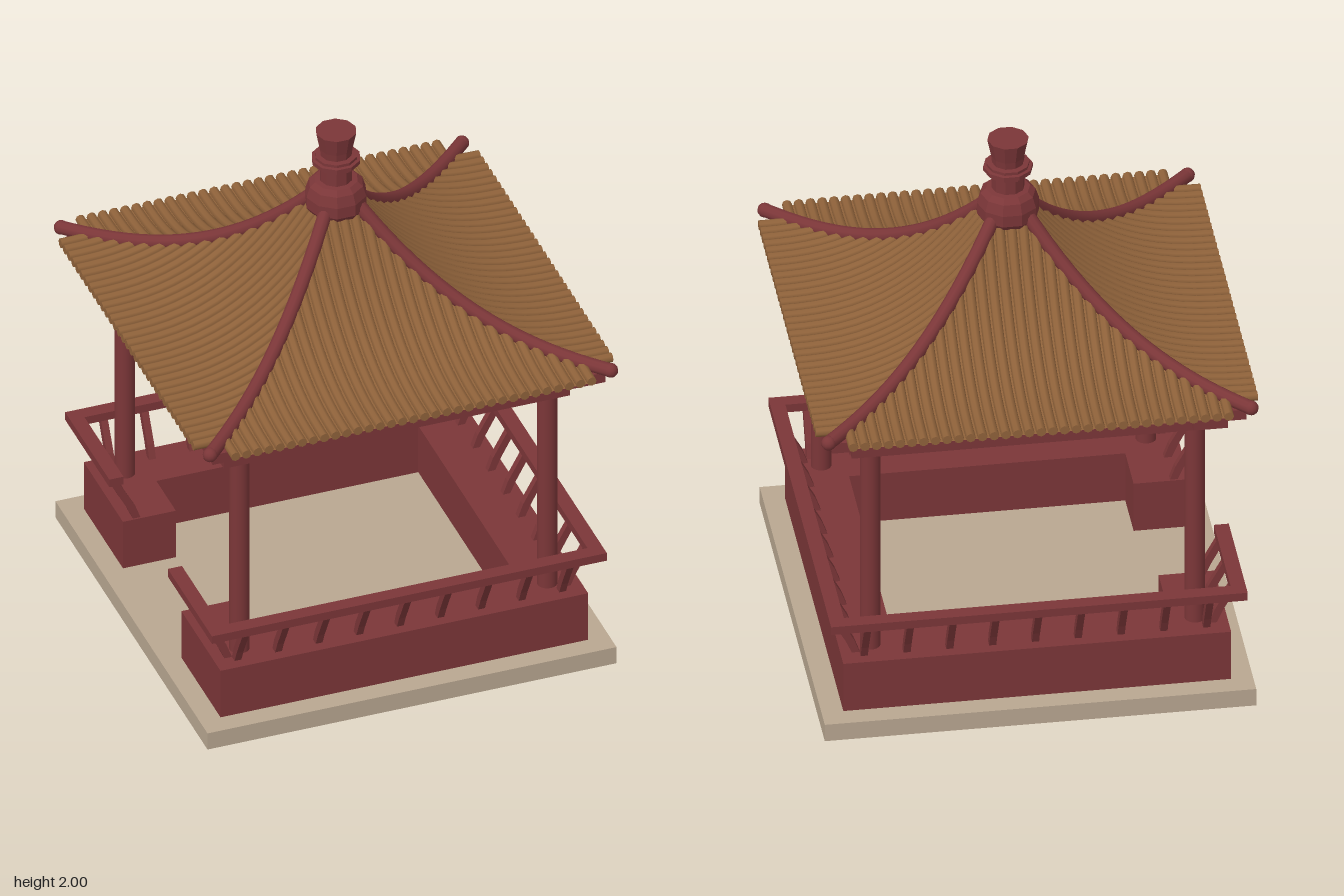
import * as THREE from 'three';
import { mergeGeometries } from 'three/addons/utils/BufferGeometryUtils.js';

const QUARTER = Math.PI / 2;

// Height of the swept roof at distance s from the centre line
const roofY = (s) => 1.255 + 0.41 * Math.pow(Math.max(0, (0.8 - s) / 0.72), 2.5);

export function createModel() {
  const model = new THREE.Group();
  const pavilion = new THREE.Group();
  pavilion.name = 'pavilion';
  pavilion.rotation.y = -0.305;
  model.add(pavilion);

  const red = new THREE.MeshStandardMaterial({ color: 0x7b3638 });
  red.name = 'redWood';
  const stone = new THREE.MeshStandardMaterial({ color: 0xb8a690 });
  stone.name = 'paleStone';
  const tile = new THREE.MeshStandardMaterial({ color: 0x8f623a, side: THREE.DoubleSide });
  tile.name = 'brownTile';

  const add = (name, geometry, material, parent = pavilion) => {
    const mesh = new THREE.Mesh(geometry, material);
    mesh.name = name;
    parent.add(mesh);
    return mesh;
  };
  // Box given by its extents on each axis
  const box = (name, x0, x1, y0, y1, z0, z1, material = red) => {
    const g = new THREE.BoxGeometry(x1 - x0, y1 - y0, z1 - z0);
    g.translate((x0 + x1) / 2, (y0 + y1) / 2, (z0 + z1) / 2);
    return add(name, g, material);
  };
  // Square ring with an optional opening in the front
  const ring = (name, inner, outer, y0, y1, gap = 0) => {
    for (const s of [-1, 1]) {
      const [a, b] = s < 0 ? [-outer, -inner] : [inner, outer];
      box(name + 'Side', a, b, y0, y1, -outer, outer);
      if (gap) {
        const [c, d] = s < 0 ? [-inner, -gap] : [gap, inner];
        box(name + 'Front', c, d, y0, y1, inner, outer);
      }
    }
    box(name + 'Back', -inner, inner, y0, y1, -outer, -inner);
    if (!gap) box(name + 'Front', -inner, inner, y0, y1, inner, outer);
  };

  // Base, benches and backrest rail
  box('basePlatform', -0.781, 0.781, 0, 0.07, -0.781, 0.781, stone);
  ring('bench', 0.5, 0.702, 0.07, 0.272, 0.3);
  ring('backrestRail', 0.7, 0.754, 0.435, 0.468, 0.3);

  // Bent balusters leaning outwards under the rail
  const profile = new THREE.Shape([
    [0.632, 0.27], [0.66, 0.27], [0.682, 0.32], [0.745, 0.437], [0.714, 0.437], [0.652, 0.325],
  ].map(([x, y]) => new THREE.Vector2(x, y)));
  const baluster = new THREE.ExtrudeGeometry(profile, { depth: 0.026, bevelEnabled: false });
  baluster.translate(0, 0, -0.013);
  baluster.rotateY(-QUARTER);
  const fullRow = [-4, -3, -2, -1, 0, 1, 2, 3, 4].map((i) => i * 0.155);
  const frontRow = [-0.62, -0.465, -0.32, 0.32, 0.465, 0.62];
  for (let k = 0; k < 4; k++) {
    const row = (k === 0 ? frontRow : fullRow).map((x) => baluster.clone().translate(x, 0, 0));
    add('balusters', mergeGeometries(row), red).rotation.y = k * QUARTER;
  }

  // Columns
  for (const x of [-0.588, 0.588]) {
    for (const z of [-0.588, 0.588]) {
      const column = add('column', new THREE.CylinderGeometry(0.037, 0.037, 0.84, 20), red);
      column.position.set(x, 0.69, z);
    }
  }

  // Beams above the columns
  box('leftBeam', 0.548, 0.628, 1.095, 1.21, -0.66, 0.66);
  box('rightBeam', -0.628, -0.548, 1.1, 1.17, -0.66, 0.66);
  box('frontBeam', -0.705, 0.705, 1.15, 1.211, 0.565, 0.69);
  ring('eaveBeam', 0.66, 0.75, 1.21, 1.252);

  // Roof: curved panel with rows of round tiles, repeated on four sides
  const panel = new THREE.PlaneGeometry(1, 1, 2, 18);
  const pos = panel.attributes.position;
  for (let i = 0; i < pos.count; i++) {
    const s = 0.8 - (pos.getY(i) + 0.5) * 0.74;
    pos.setXYZ(i, pos.getX(i) * 2 * Math.min(s, 0.695), roofY(s), s);
  }
  panel.computeVertexNormals();

  const tileRows = [];
  for (let i = -16; i <= 16; i++) {
    const x = i * 0.0425;
    const start = Math.max(Math.abs(x), 0.08);
    const points = [];
    for (let j = 0; j <= 10; j++) {
      const s = start + (0.8 - start) * (j / 10);
      points.push(new THREE.Vector3(x, roofY(s) + 0.006, s));
    }
    const curve = new THREE.CatmullRomCurve3(points);
    const segments = Math.max(3, Math.round((0.8 - start) * 20));
    tileRows.push(new THREE.TubeGeometry(curve, segments, 0.018, 8));
    tileRows.push(new THREE.CircleGeometry(0.018, 8).translate(x, roofY(0.8) + 0.006, 0.8));
  }
  const tiles = mergeGeometries(tileRows);

  // Hip ridge from the finial to a corner, with a rounded end
  const hipPoints = [];
  for (let j = 0; j <= 12; j++) {
    const s = 0.06 + (0.765 - 0.06) * (j / 12);
    hipPoints.push(new THREE.Vector3(s, roofY(s) + 0.012, s));
  }
  const hip = new THREE.TubeGeometry(new THREE.CatmullRomCurve3(hipPoints), 28, 0.026, 10);
  const hipEnd = new THREE.SphereGeometry(0.027, 12, 8);
  hipEnd.translate(0.765, roofY(0.765) + 0.012, 0.765);

  for (let k = 0; k < 4; k++) {
    const side = new THREE.Group();
    side.name = 'roofSide';
    side.rotation.y = k * QUARTER;
    pavilion.add(side);
    add('roofPanel', panel, tile, side);
    add('roofTiles', tiles, tile, side);
    add('hipRidge', hip, red, side);
    add('hipRidgeEnd', hipEnd, red, side);
  }

  // Faceted finial
  const outline = [
    [0, 1.665], [0.1, 1.67], [0.113, 1.69], [0.113, 1.735], [0.1, 1.775], [0.08, 1.793],
    [0.06, 1.795], [0.06, 1.857], [0.078, 1.859], [0.078, 1.869], [0.09, 1.871], [0.09, 1.887],
    [0.078, 1.889], [0.078, 1.9], [0.058, 1.902], [0.061, 1.93], [0.075, 2], [0, 2],
  ].map(([r, y]) => new THREE.Vector2(r, y));
  const finial = new THREE.LatheGeometry(outline, 10).toNonIndexed();
  finial.computeVertexNormals();
  add('finial', finial, red);

  return model;
}
